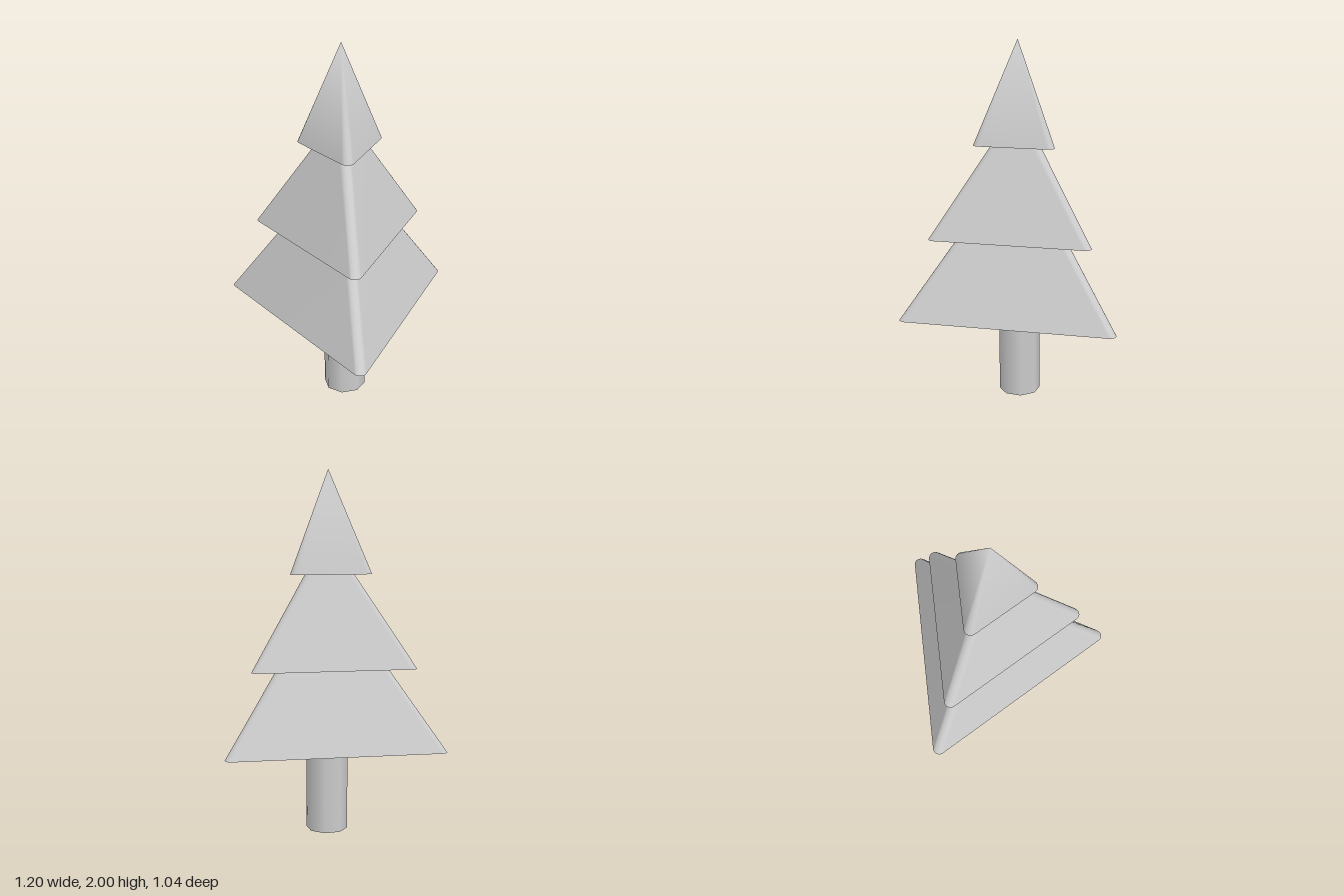
import * as THREE from 'three';

const AXIS_Z = 0.163; // the trunk axis sits forward of the centre
const CORNER = 0.035; // corner radius of the triangular tiers
const STEPS = 5;      // segments per rounded corner

// Rounded triangle with one corner pointing back; halfWidth is its greatest x
function triangleRing(halfWidth, y) {
  const reach = (halfWidth - CORNER) * 2 / Math.sqrt(3);
  const ring = [];
  for (let k = 0; k < 3; k++) {
    const corner = Math.PI / 3 + k * Math.PI * 2 / 3;
    for (let s = 0; s <= STEPS; s++) {
      const a = corner + (s / STEPS - 0.5) * Math.PI * 2 / 3;
      ring.push([
        reach * Math.sin(corner) + CORNER * Math.sin(a),
        y,
        reach * Math.cos(corner) + CORNER * Math.cos(a),
      ]);
    }
  }
  return ring;
}

function geometryFrom(points, index) {
  const g = new THREE.BufferGeometry();
  g.setAttribute('position', new THREE.Float32BufferAttribute(points.flat(), 3));
  g.setIndex(index);
  g.computeVertexNormals();
  return g;
}

// Sloping sides up to a smaller ring, or to a point when topWidth is 0
function tierSides(bottom, topWidth, topY) {
  const n = bottom.length;
  const top = topWidth > 0 ? triangleRing(topWidth, topY) : [[0, topY, 0]];
  const index = [];
  for (let i = 0; i < n; i++) {
    const j = (i + 1) % n;
    if (topWidth > 0) index.push(i, j, n + j, i, n + j, n + i);
    else index.push(i, j, n);
  }
  return geometryFrom([...bottom, ...top], index);
}

// Flat underside facing down
function tierUnderside(bottom) {
  const n = bottom.length;
  const index = [];
  for (let i = 0; i < n; i++) index.push(n, (i + 1) % n, i);
  return geometryFrom([...bottom, [0, bottom[0][1], 0]], index);
}

export function createModel() {
  const model = new THREE.Group();
  model.name = 'tree';
  const material = new THREE.MeshStandardMaterial({ color: 0xcccccc });
  const openMaterial = new THREE.MeshStandardMaterial({ color: 0xcccccc, side: THREE.DoubleSide });

  const add = (parent, name, geometry, mat = material) => {
    const mesh = new THREE.Mesh(geometry, mat);
    mesh.name = name;
    parent.add(mesh);
    return mesh;
  };

  // Trunk: open eight-sided tube
  const trunk = add(model, 'trunk', new THREE.CylinderGeometry(0.115, 0.115, 0.5, 8, 1, true), openMaterial);
  trunk.position.set(0, 0.25, AXIS_Z);

  // Foliage tiers, each ending under the next
  const tiers = [
    { name: 'lowerTier', width: 0.598, y: 0.5, topWidth: 0.3, topY: 0.945 },
    { name: 'middleTier', width: 0.446, y: 0.945, topWidth: 0.132, topY: 1.445 },
    { name: 'topTier', width: 0.222, y: 1.445, topWidth: 0, topY: 2 },
  ];
  for (const t of tiers) {
    const tier = new THREE.Group();
    tier.name = t.name;
    tier.position.z = AXIS_Z;
    const bottom = triangleRing(t.width, t.y);
    add(tier, t.name + 'Sides', tierSides(bottom, t.topWidth, t.topY));
    add(tier, t.name + 'Underside', tierUnderside(bottom));
    model.add(tier);
  }

  return model;
}
